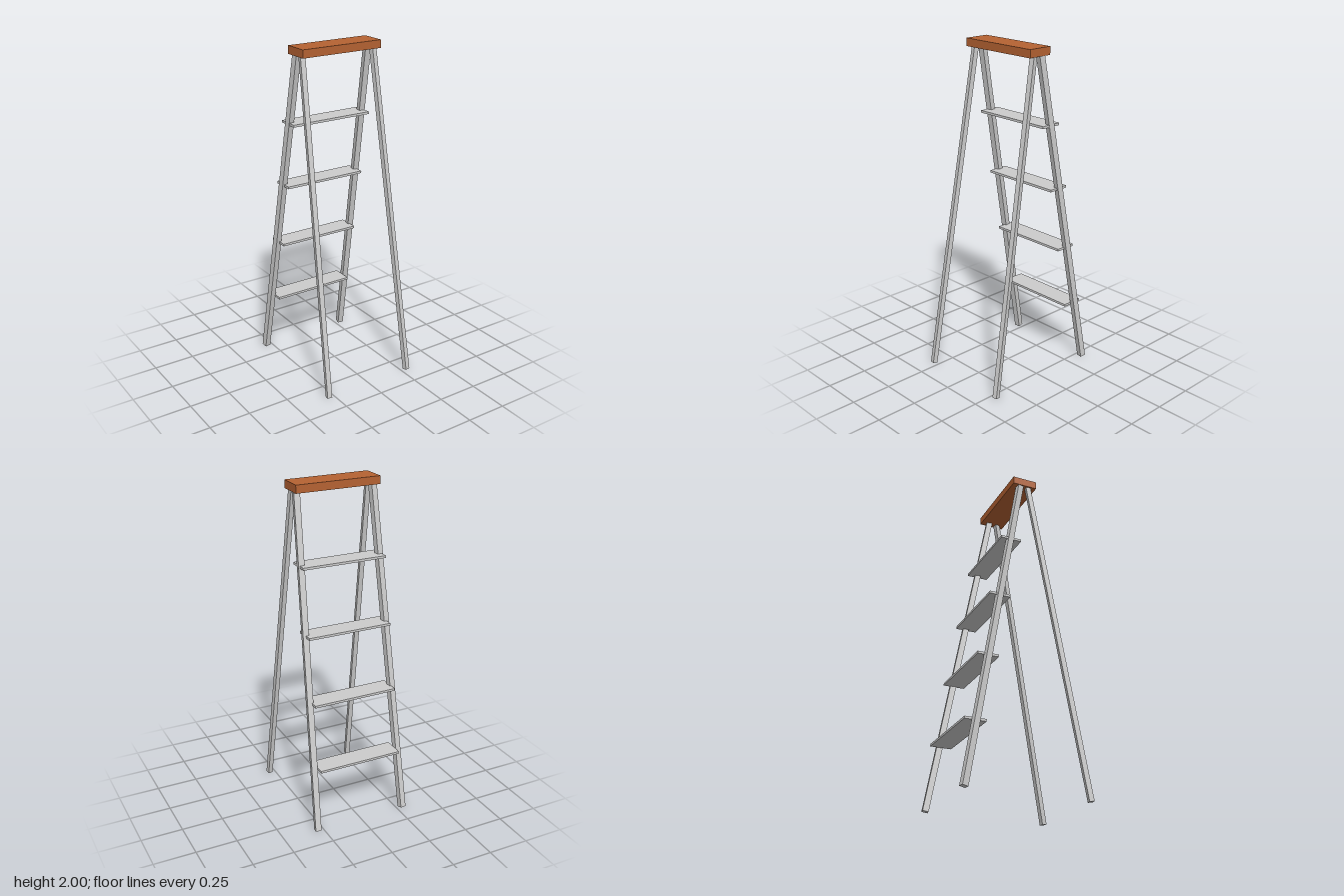
import * as THREE from 'three';

const grey = new THREE.MeshStandardMaterial({ color: 0xcccccc });
const wood = new THREE.MeshStandardMaterial({ color: 0xb56232 });

// Axis-aligned box centred at (x, y, z)
function box(name, size, position, material) {
  const mesh = new THREE.Mesh(new THREE.BoxGeometry(...size), material);
  mesh.name = name;
  mesh.position.set(...position);
  return mesh;
}

// Square bar running from foot to top, turned to follow its own splay
function bar(name, foot, top, width, depth) {
  const a = new THREE.Vector3(...foot);
  const b = new THREE.Vector3(...top);
  const mesh = box(name, [width, depth, a.distanceTo(b)], [0, 0, 0], grey);
  mesh.position.addVectors(a, b).multiplyScalar(0.5);
  mesh.lookAt(b);
  return mesh;
}

export function createModel() {
  const ladder = new THREE.Group();
  ladder.name = 'stepLadder';

  // Wooden top plank
  ladder.add(box('topPlank', [0.517, 0.047, 0.152], [0, 1.9765, 0.008], wood));

  // Splayed legs, mirrored left and right
  for (const [side, s] of [['left', 1], ['right', -1]]) {
    ladder.add(
      bar(side + 'FrontLeg', [s * 0.286, 0.003, 0.371], [s * 0.235, 1.97, 0.034], 0.029, 0.029),
      bar(side + 'BackLeg', [s * 0.286, 0.003, -0.368], [s * 0.235, 1.97, -0.014], 0.035, 0.035),
    );
  }

  // Steps between the back legs, moving inward as they rise
  for (let i = 0; i < 4; i++) {
    ladder.add(box('step' + (i + 1), [0.517, 0.014, 0.128],
      [0, 0.385 + i * 0.389, -0.297 + i * 0.0705], grey));
  }
  return ladder;
}
